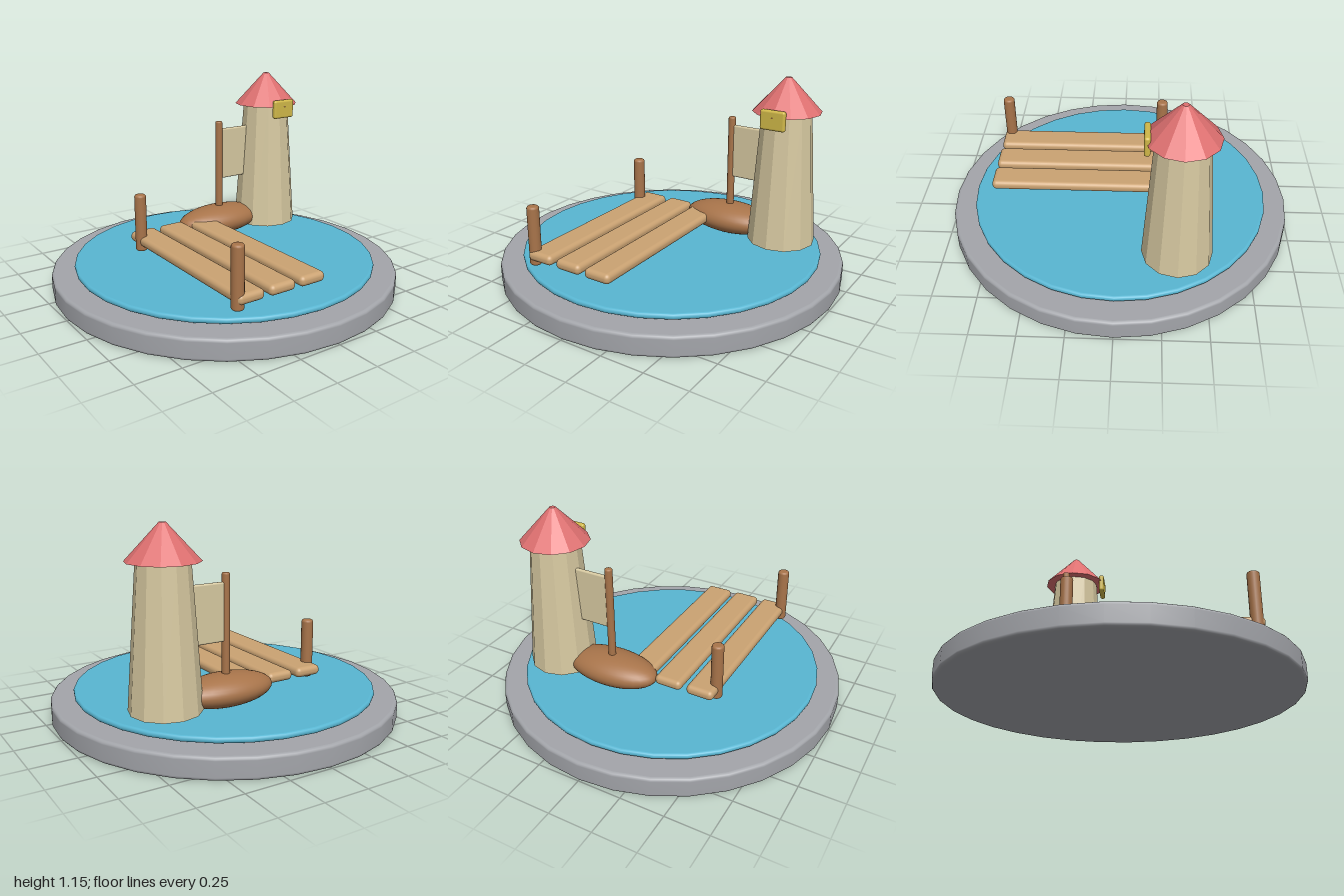
import * as THREE from 'three';
import { RoundedBoxGeometry } from 'three/addons/geometries/RoundedBoxGeometry.js';

const material = (name, color, flatShading = false) => {
  const m = new THREE.MeshStandardMaterial({ color, flatShading });
  m.name = name;
  return m;
};

// Upright round solid with softly rounded rims, standing on y = 0
function roundedCylinder(radius, height, bevel, segments) {
  const points = [new THREE.Vector2(0, 0), new THREE.Vector2(radius - bevel - 0.001, 0)];
  const steps = 4;
  for (const top of [false, true]) {
    for (let i = 0; i <= steps; i++) {
      const a = (i / steps) * Math.PI / 2 + (top ? 0 : -Math.PI / 2);
      const cy = top ? height - bevel : bevel;
      points.push(new THREE.Vector2(radius - bevel + Math.cos(a) * bevel, cy + Math.sin(a) * bevel));
    }
  }
  points.push(new THREE.Vector2(radius - bevel - 0.001, height), new THREE.Vector2(0, height));
  return new THREE.LatheGeometry(points, segments);
}

export function createModel() {
  const model = new THREE.Group();
  model.name = 'harbour';

  const stone = material('stone grey', 0xa3a5aa);
  const waterBlue = material('water blue', 0x58b6d2);
  const sand = material('sand', 0xd6c8a0);
  const towerSand = sand;
  const plankWood = material('plank wood', 0xcaa272);
  const darkWood = material('dark wood', 0xa8744a);
  const roofRed = material('roof red', 0xde7070, true);
  const lampYellow = material('lamp yellow', 0xd0b848);

  const add = (name, geometry, mat, x, y, z) => {
    const mesh = new THREE.Mesh(geometry, mat);
    mesh.name = name;
    mesh.position.set(x, y, z);
    model.add(mesh);
    return mesh;
  };

  // Round base and water surface
  add('base', roundedCylinder(1, 0.12, 0.018, 32), stone, 0, 0, 0);
  add('water', roundedCylinder(0.87, 0.032, 0.014, 32), waterBlue, 0, 0.13, 0);

  // Jetty planks and mooring posts
  for (const x of [-0.355, -0.16, 0.033]) {
    add('plank', new RoundedBoxGeometry(0.162, 0.058, 1.115, 4, 0.026), plankWood, x, 0.25, 0.202);
  }
  for (const z of [-0.25, 0.717]) {
    add('post', roundedCylinder(0.034, 0.34, 0.014, 20), darkWood, -0.415, 0.19, z);
  }

  // Boat with mast and sail
  const hull = add('boatHull', new THREE.SphereGeometry(1, 32, 20), darkWood, 0.2, 0.245, -0.345);
  hull.scale.set(0.285, 0.09, 0.145);
  add('mast', roundedCylinder(0.022, 0.575, 0.009, 16), darkWood, 0.198, 0.3, -0.345);
  add('sail', new RoundedBoxGeometry(0.225, 0.318, 0.024, 3, 0.01), sand, 0.32, 0.668, -0.345);

  // Faceted lighthouse tower, roof and lamp
  const towerGeometry = new THREE.CylinderGeometry(0.14, 0.195, 0.77, 12).toNonIndexed();
  towerGeometry.computeVertexNormals();
  add('tower', towerGeometry, towerSand, 0.55, 0.575, -0.33);
  add('roof', new THREE.CylinderGeometry(0.017, 0.195, 0.192, 12), roofRed, 0.55, 1.056, -0.33);
  add('lamp', new RoundedBoxGeometry(0.148, 0.112, 0.032, 3, 0.013), lampYellow, 0.549, 0.945, -0.153);

  return model;
}
